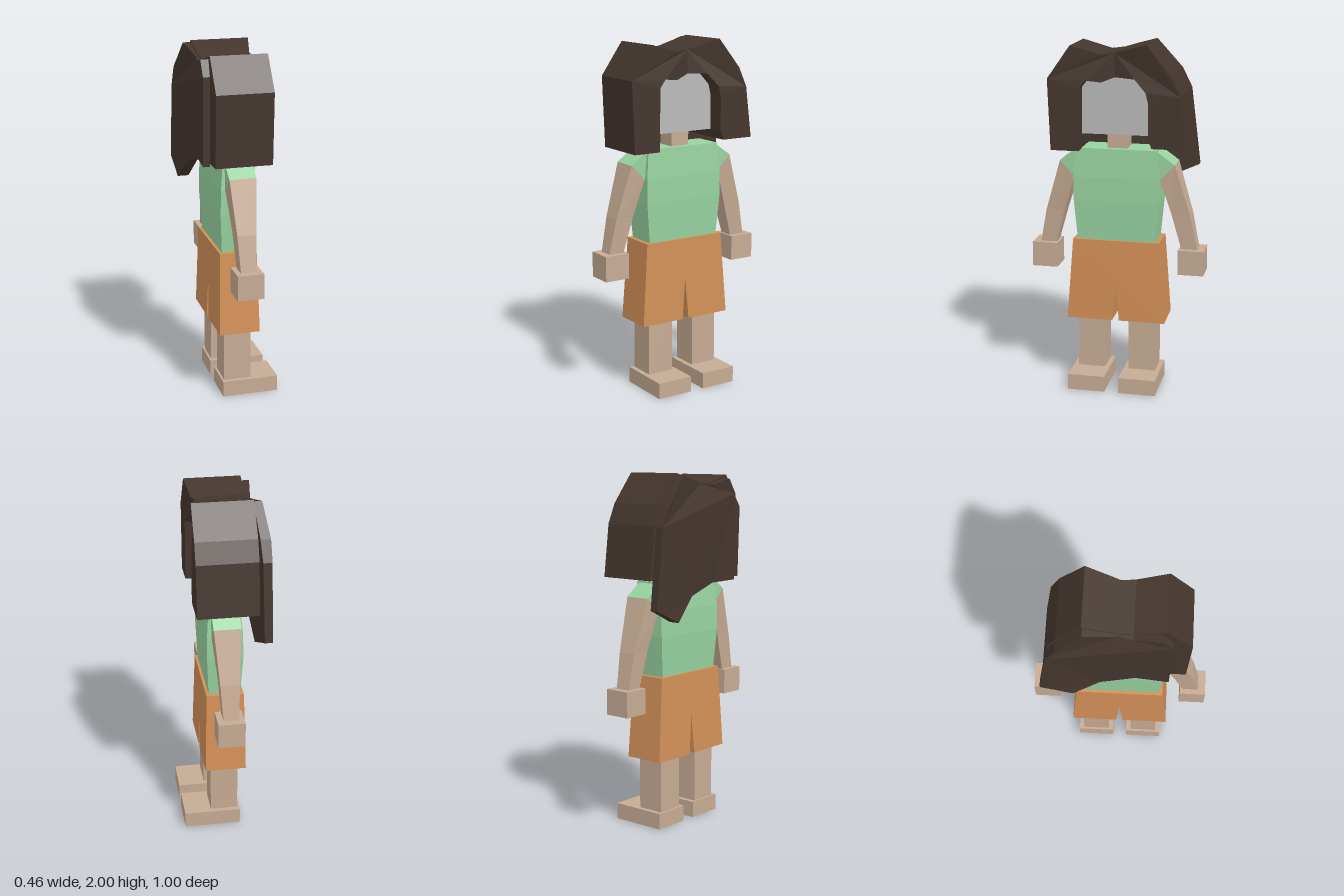
import * as THREE from 'three';

const mat = (name, color) => {
  const m = new THREE.MeshStandardMaterial({ color });
  m.name = name;
  return m;
};

// Flat-sided loft through four-cornered rings, listed from bottom to top.
// Ring: [zA, yA, zB, yB, xBack, xFront] with zA on the +z side.
function loft(rings) {
  const pos = [];
  const corners = rings.map(([za, ya, zb, yb, x0, x1]) => [
    [x1, ya, za], [x1, yb, zb], [x0, yb, zb], [x0, ya, za]]);
  const quad = (a, b, c, d) => pos.push(...a, ...b, ...c, ...a, ...c, ...d);
  for (let i = 0; i < corners.length - 1; i++) {
    const lo = corners[i], hi = corners[i + 1];
    for (let k = 0; k < 4; k++) {
      const n = (k + 1) % 4;
      quad(lo[k], lo[n], hi[n], hi[k]);
    }
  }
  const top = corners[corners.length - 1], [p, q, r, s] = corners[0];
  quad(...top);
  quad(s, r, q, p);
  const g = new THREE.BufferGeometry();
  g.setAttribute('position', new THREE.Float32BufferAttribute(pos, 3));
  g.computeVertexNormals();
  return g;
}

// Mirror a ring to the other side of the body
const side = (s, [za, ya, zb, yb, x0, x1]) =>
  s > 0 ? [za, ya, zb, yb, x0, x1] : [-zb, yb, -za, ya, x0, x1];

// Outline of (z, y) points extruded along x; xAt(front, z, y) places each vertex
function slab(points, xAt) {
  const shape = new THREE.Shape(points.map(([z, y]) => new THREE.Vector2(-z, y)));
  const g = new THREE.ExtrudeGeometry(shape, { depth: 1, bevelEnabled: false });
  g.rotateY(Math.PI / 2);
  const p = g.attributes.position;
  for (let i = 0; i < p.count; i++) p.setX(i, xAt(p.getX(i) > 0.5, p.getZ(i), p.getY(i)));
  g.computeVertexNormals();
  return g;
}

function box(x0, x1, y0, y1, z0, z1) {
  return new THREE.BoxGeometry(x1 - x0, y1 - y0, z1 - z0)
    .translate((x0 + x1) / 2, (y0 + y1) / 2, (z0 + z1) / 2);
}

export function createModel() {
  const group = new THREE.Group();
  const skin = mat('skin', 0xc6ab94);
  const green = mat('shirt green', 0x98d3a0);
  const orange = mat('shorts orange', 0xd39058);
  const brown = mat('hair brown', 0x44362e);
  const grey = mat('face grey', 0xbababa);
  const add = (name, geometry, material) => {
    const m = new THREE.Mesh(geometry, material);
    m.name = name;
    group.add(m);
  };

  // Torso, neck and head
  add('torso', loft([
    [0.225, 0.87, -0.225, 0.87, -0.095, 0.085],
    [0.245, 1.1, -0.245, 1.1, -0.107, 0.095],
    [0.245, 1.24, -0.245, 1.24, -0.105, 0.095],
    [0.23, 1.405, -0.23, 1.405, -0.09, 0.085],
  ]), green);
  add('neck', box(-0.06, 0.05, 1.38, 1.5, -0.057, 0.057), skin);
  add('head', box(-0.14, 0.07, 1.485, 1.83, -0.2, 0.2), grey);

  // Shorts with a narrow gap between the legs
  add('shorts', slab([
    [0.25, 0.875], [0.285, 0.4], [0.02, 0.4], [0, 0.64],
    [-0.02, 0.4], [-0.285, 0.4], [-0.25, 0.875],
  ], (front, z, y) => {
    const t = (0.875 - y) / 0.475;
    return front ? 0.1 + 0.012 * t : -0.112 - 0.01 * t;
  }), orange);

  // Limbs
  for (const s of [1, -1]) {
    const label = s > 0 ? 'left' : 'right';
    const z = (a, b) => s > 0 ? [a, b] : [-b, -a];
    add(label + 'Sleeve', loft([
      [0.33, 1.325, 0.247, 1.238, -0.081, 0.071],
      [0.22, 1.403, 0.2, 1.24, -0.081, 0.071],
    ].map(r => side(s, r))), green);
    add(label + 'Arm', loft([
      [0.46, 0.82, 0.37, 0.82, -0.05, 0.035],
      [0.418, 1.03, 0.312, 1.03, -0.06, 0.048],
      [0.33, 1.325, 0.247, 1.238, -0.08, 0.07],
    ].map(r => side(s, r))), skin);
    add(label + 'Hand', box(-0.08, 0.07, 0.688, 0.832, ...z(0.352, 0.5)), skin);
    add(label + 'Leg', box(-0.083, 0.075, 0.08, 0.42, ...z(0.07, 0.228)), skin);
    add(label + 'Foot', box(-0.095, 0.23, 0, 0.092, ...z(0.042, 0.256)), skin);
  }

  // Hair: thick arch over the head, pinched in the middle
  add('hairArch', slab([
    [0.36, 1.4], [0.375, 1.8], [0.245, 1.985], [0.075, 1.937], [0, 1.947],
    [-0.075, 1.97], [-0.185, 2], [-0.32, 1.835], [-0.37, 1.725], [-0.407, 1.434],
    [-0.215, 1.434], [-0.195, 1.485], [-0.195, 1.68], [-0.18, 1.74], [-0.115, 1.81],
    [0, 1.815], [0.075, 1.785], [0.16, 1.795], [0.196, 1.75], [0.2, 1.4],
  ], (front, z) => {
    if (!front) return -0.165;
    const t = Math.min(1, Math.abs(z) / 0.19);
    return 0.124 + t * (z < 0 ? 0.046 : 0.031);
  }), brown);

  // Hair: panel down the back with a long lock on one side
  add('hairBack', slab([
    [0.27, 1.39], [0.275, 1.88], [0.22, 1.965], [0.075, 1.93], [0, 1.94],
    [-0.18, 1.99], [-0.32, 1.83], [-0.375, 1.72], [-0.43, 1.28], [-0.35, 1.245],
    [-0.25, 1.198], [-0.1, 1.33], [0.09, 1.385],
  ], (front, z, y) => {
    const t = Math.min(1, Math.abs(z) / 0.2);
    if (front) return -0.14 - 0.05 * Math.min(1, Math.abs(z) / 0.43);
    return -0.178 - t * (z < 0 ? (y > 1.9 ? 0.035 : 0.055) : 0.032);
  }), brown);

  return group;
}
